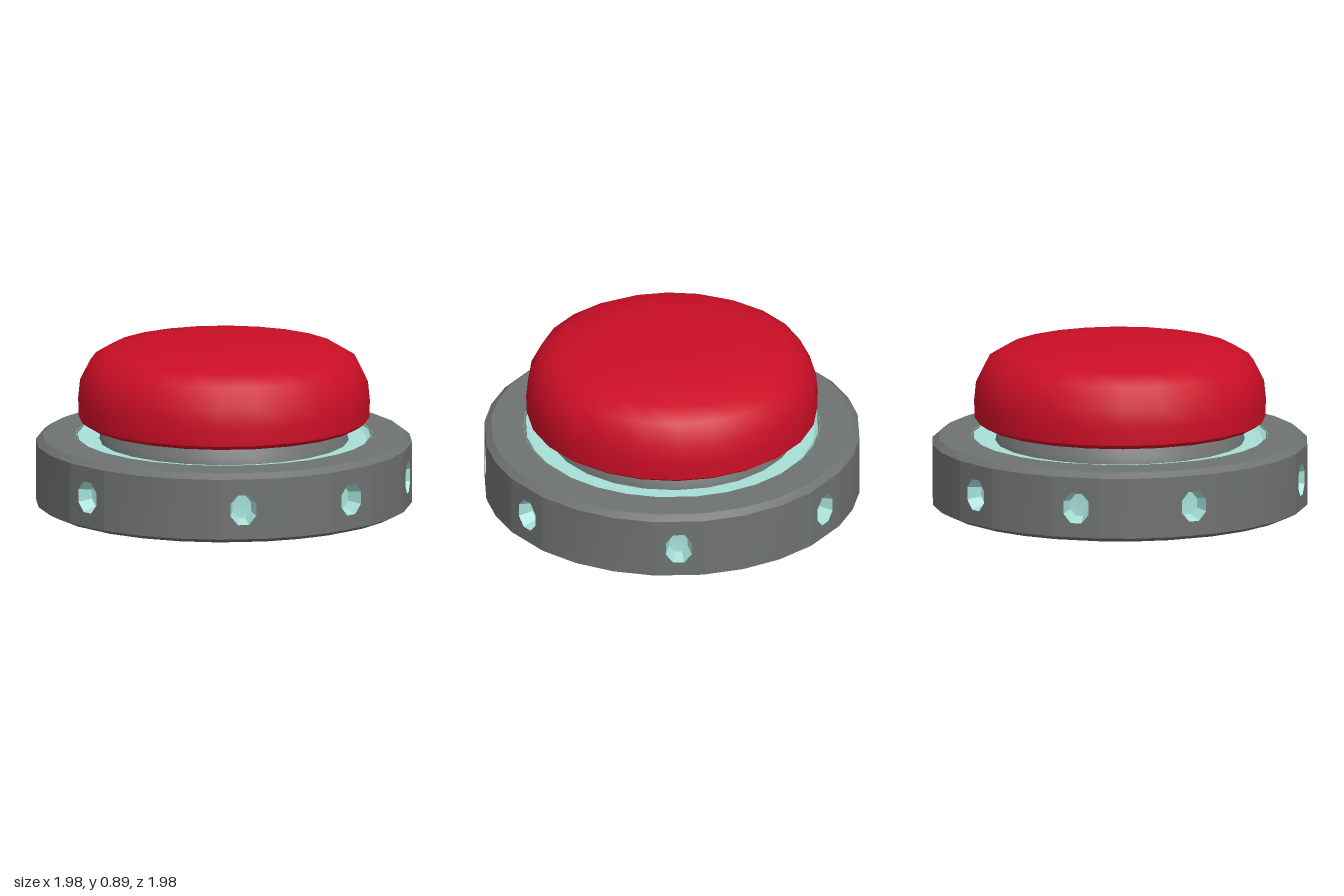
import * as THREE from 'three';
import { toCreasedNormals } from 'three/addons/utils/BufferGeometryUtils.js';

const DEG = Math.PI / 180;
const LIGHTS = [0, 37, 90, 143, 180, 217, 270, 323]; // bearings of the recessed lights
const HALF = 7.5;                                     // half angle of a light panel
const SIDE_LOW = 0.03, SIDE_HIGH = 0.355, LIGHT_Y = 0.19, LIGHT_W = 0.075, LIGHT_H = 0.09;

const vectors = (list) => list.map(([x, y]) => new THREE.Vector2(x, y));

function lathe(points, segments, crease, start = 0) {
  return toCreasedNormals(new THREE.LatheGeometry(vectors(points), segments, start), crease);
}

// Ring of facets around the base; the side facets holding lights are left open
function baseShell() {
  const profile = [[0, 0.005], [0.95, 0.005], [1, SIDE_LOW], [1, SIDE_HIGH], [0.965, 0.383], [0.78, 0.385]];
  const sideRow = 2;
  const facets = [];
  LIGHTS.forEach((bearing, i) => {
    const next = i + 1 < LIGHTS.length ? LIGHTS[i + 1] : 360;
    facets.push([bearing - HALF, bearing + HALF, true]);
    const gap = next - bearing - 2 * HALF;
    const count = Math.round(gap / 12);
    for (let k = 0; k < count; k++) {
      const from = bearing + HALF + gap * k / count;
      facets.push([from, from + gap / count, false]);
    }
  });
  const positions = [];
  const at = (angle, [r, y]) => [r * Math.sin(angle * DEG), y, r * Math.cos(angle * DEG)];
  for (const [from, to, open] of facets) {
    for (let j = 0; j < profile.length - 1; j++) {
      if (open && j === sideRow) continue;
      const a = at(from, profile[j]), b = at(to, profile[j]);
      const c = at(to, profile[j + 1]), d = at(from, profile[j + 1]);
      if (j > 0) positions.push(...a, ...b, ...c);
      positions.push(...a, ...c, ...d);
    }
  }
  const geometry = new THREE.BufferGeometry();
  geometry.setAttribute('position', new THREE.Float32BufferAttribute(positions, 3));
  return toCreasedNormals(geometry, 0.4);
}

// Flat side panel with an eight-sided opening
function lightPanel() {
  const w = Math.sin(HALF * DEG);
  const shape = new THREE.Shape(vectors([[-w, SIDE_LOW], [w, SIDE_LOW], [w, SIDE_HIGH], [-w, SIDE_HIGH]]));
  const hole = [];
  for (let k = 0; k < 8; k++) {
    const t = (k + 0.5) * Math.PI / 4;
    hole.push([LIGHT_W * Math.cos(t), LIGHT_Y + LIGHT_H * Math.sin(t)]);
  }
  shape.holes.push(new THREE.Path(vectors(hole)));
  return new THREE.ShapeGeometry(shape);
}

// Shallow faceted cup facing +z
function lightCup() {
  const cup = new THREE.LatheGeometry(vectors([[1, 0], [0.72, -0.08], [0, -0.085]]), 8, Math.PI / 8);
  cup.rotateX(Math.PI / 2);
  cup.scale(LIGHT_W, LIGHT_H, 1);
  cup.translate(0, LIGHT_Y, 0);
  return toCreasedNormals(cup, 0.3);
}

export function createModel() {
  const grey = new THREE.MeshStandardMaterial({ color: 0x6e7270 });
  grey.name = 'casing grey';
  const teal = new THREE.MeshStandardMaterial({ color: 0xa6e0d8 });
  teal.name = 'light teal';
  const red = new THREE.MeshStandardMaterial({ color: 0xcb0e26 });
  red.name = 'button red';

  const model = new THREE.Group();
  model.name = 'pushButton';
  const add = (parent, name, geometry, material) => {
    const mesh = new THREE.Mesh(geometry, material);
    mesh.name = name;
    parent.add(mesh);
    return mesh;
  };

  add(model, 'base', baseShell(), grey);

  // Recessed lights around the side
  const panel = lightPanel(), cup = lightCup();
  for (const bearing of LIGHTS) {
    const light = new THREE.Group();
    light.name = 'sideLight';
    light.rotation.y = bearing * DEG;
    add(light, 'lightPanel', panel, grey).position.z = Math.cos(HALF * DEG);
    add(light, 'lightCup', cup, teal).position.z = Math.cos(HALF * DEG);
    model.add(light);
  }

  // Glowing channel between the base and the neck
  add(model, 'glowRing', lathe([[0.79, 0.386], [0.76, 0.365], [0.64, 0.362]], 28, 0.4), teal);

  add(model, 'neck', lathe([[0.665, 0.35], [0.655, 0.395], [0.6, 0.48]], 24, 0.5), grey);

  // Domed push cap
  add(model, 'buttonCap', lathe([
    [0, 0.462], [0.74, 0.462], [0.772, 0.485], [0.775, 0.58], [0.765, 0.68],
    [0.71, 0.79], [0.62, 0.845], [0.42, 0.88], [0.2, 0.892], [0, 0.895],
  ], 24, 0.6), red);

  return model;
}
